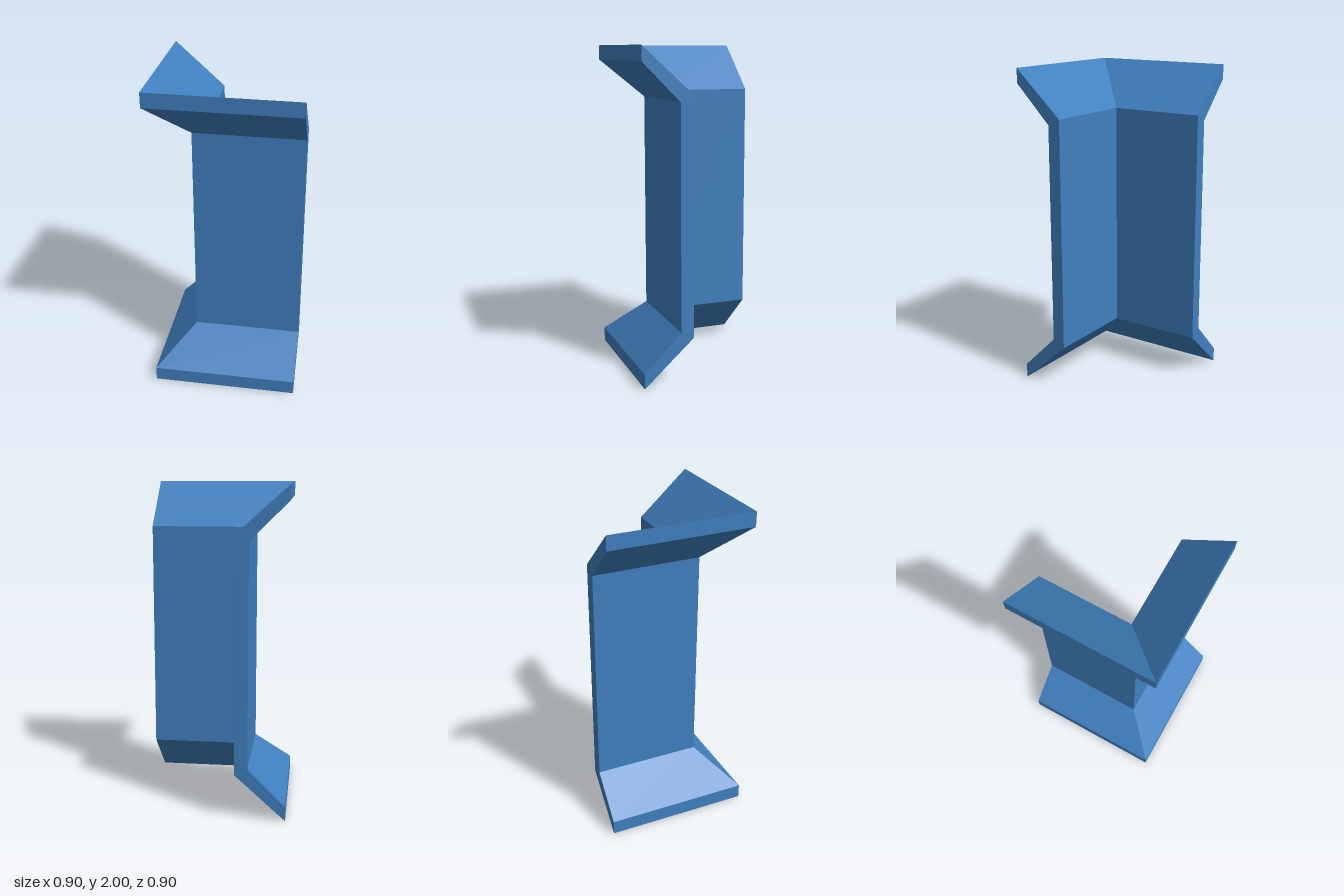
import * as THREE from 'three';

const HALF = 0.45;

// Plate cross-section: x is the distance outward from the centre, y is height.
function flaredProfile() {
  const lower = [[0.14, 0.28], [HALF, 0], [HALF, 0.09], [0.22, 0.32]];
  const upper = lower.map(([d, y]) => [d, 2 - y]).reverse();
  return new THREE.Shape([...lower, ...upper].map(([d, y]) => new THREE.Vector2(d, y)));
}

export function createModel() {
  const group = new THREE.Group();
  group.name = 'cornerBracket';

  // Sweep the profile along both arms, mitred at the front right corner.
  const geometry = new THREE.ExtrudeGeometry(flaredProfile(), {
    depth: 2, steps: 2, bevelEnabled: false,
  });
  const pos = geometry.attributes.position;
  for (let i = 0; i < pos.count; i++) {
    const d = pos.getX(i);
    const station = Math.round(pos.getZ(i));
    const x = station === 0 ? HALF : -d;
    const z = station === 2 ? -HALF : d;
    pos.setXYZ(i, x, pos.getY(i), z);
  }
  geometry.computeVertexNormals();

  const material = new THREE.MeshStandardMaterial({ color: 0x4080bf, flatShading: true });
  const plate = new THREE.Mesh(geometry, material);
  plate.name = 'flaredCornerPlate';
  group.add(plate);
  return group;
}
